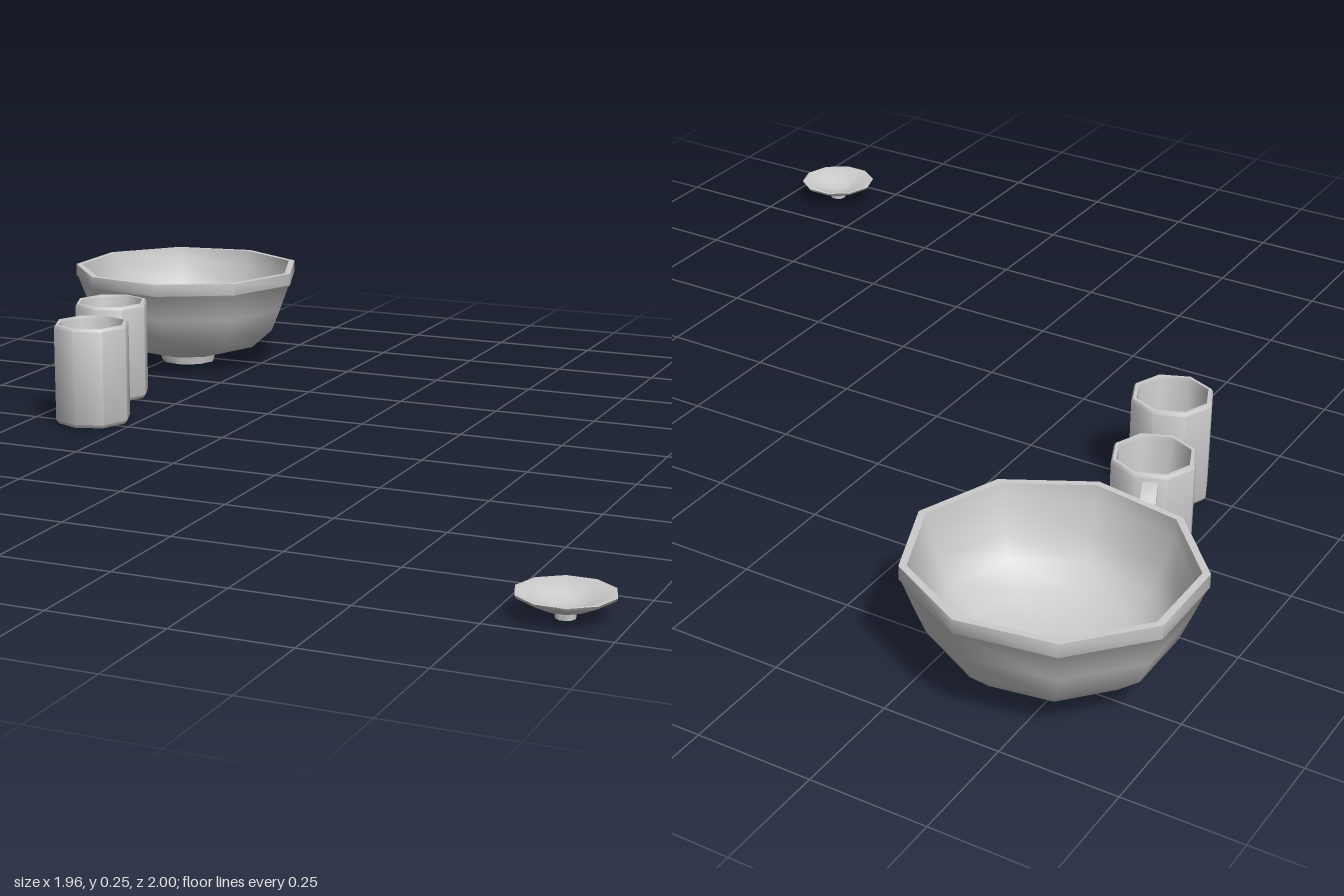
import * as THREE from 'three';
import { toCreasedNormals } from 'three/addons/utils/BufferGeometryUtils.js';

const material = new THREE.MeshStandardMaterial({ color: 0xcccccc });

// Turned vessel: profile runs from under the base, up the outside, over the rim and down inside.
// The first corner lies on +x.
function turned(name, profile, sides) {
  const points = profile.map(([r, y]) => new THREE.Vector2(r, y));
  const geometry = new THREE.LatheGeometry(points, sides, Math.PI / 2);
  const mesh = new THREE.Mesh(toCreasedNormals(geometry, 0.86), material);
  mesh.name = name;
  return mesh;
}

function makeBowl() {
  const bowl = turned('bowl', [
    [0, 0.005], [0.065, 0.005], [0.072, 0], [0.076, 0.02],
    [0.10, 0.025], [0.19, 0.05], [0.247, 0.1], [0.27, 0.155], [0.295, 0.22],
    [0.3, 0.225], [0.3, 0.255], [0.284, 0.255],
    [0.278, 0.22], [0.255, 0.155], [0.23, 0.105], [0.175, 0.065], [0.09, 0.042], [0, 0.038],
  ], 9);
  bowl.scale.z = 0.955;
  return bowl;
}

function makeMugBody() {
  return turned('mugBody', [
    [0, 0.003], [0.085, 0.003], [0.092, 0.012], [0.092, 0.236], [0.088, 0.243],
    [0.081, 0.243], [0.079, 0.236], [0.079, 0.02], [0, 0.02],
  ], 8);
}

// Square-section handle loop, drawn outward along +x
function makeHandle() {
  const shape = new THREE.Shape([
    [0.08, 0.228], [0.135, 0.223], [0.155, 0.2], [0.155, 0.06], [0.14, 0.038], [0.08, 0.028],
    [0.08, 0.048], [0.127, 0.055], [0.136, 0.068], [0.136, 0.192], [0.127, 0.203], [0.08, 0.21],
  ].map(([x, y]) => new THREE.Vector2(x, y)));
  const width = 0.032;
  const geometry = new THREE.ExtrudeGeometry(shape, { depth: width, bevelEnabled: false });
  geometry.translate(0, 0, -width / 2);
  const handle = new THREE.Mesh(toCreasedNormals(geometry, 0.86), material);
  handle.name = 'mugHandle';
  return handle;
}

// Small shallow dish on a narrow foot
function makeDish() {
  return turned('smallDish', [
    [0, 0], [0.02, 0], [0.021, 0.012], [0.045, 0.02], [0.094, 0.043],
    [0.097, 0.049], [0.092, 0.05], [0.05, 0.031], [0.025, 0.022], [0, 0.02],
  ], 10);
}

export function createModel() {
  const model = new THREE.Group();
  model.name = 'tableware';

  const bowl = makeBowl();
  bowl.position.set(-0.7, 0, -0.716);

  // Mug with its handle pointing to the back, centred on a side face
  const mug = new THREE.Group();
  mug.name = 'mug';
  const handle = makeHandle();
  handle.rotation.y = THREE.MathUtils.degToRad(112.5);
  mug.add(makeMugBody(), handle);
  mug.position.set(-0.683, 0, -0.263);

  const cup = makeMugBody();
  cup.name = 'plainCup';
  cup.position.set(-0.601, 0, -0.015);

  const dish = makeDish();
  dish.position.set(0.88, 0, 0.907);

  model.add(bowl, mug, cup, dish);
  return model;
}
